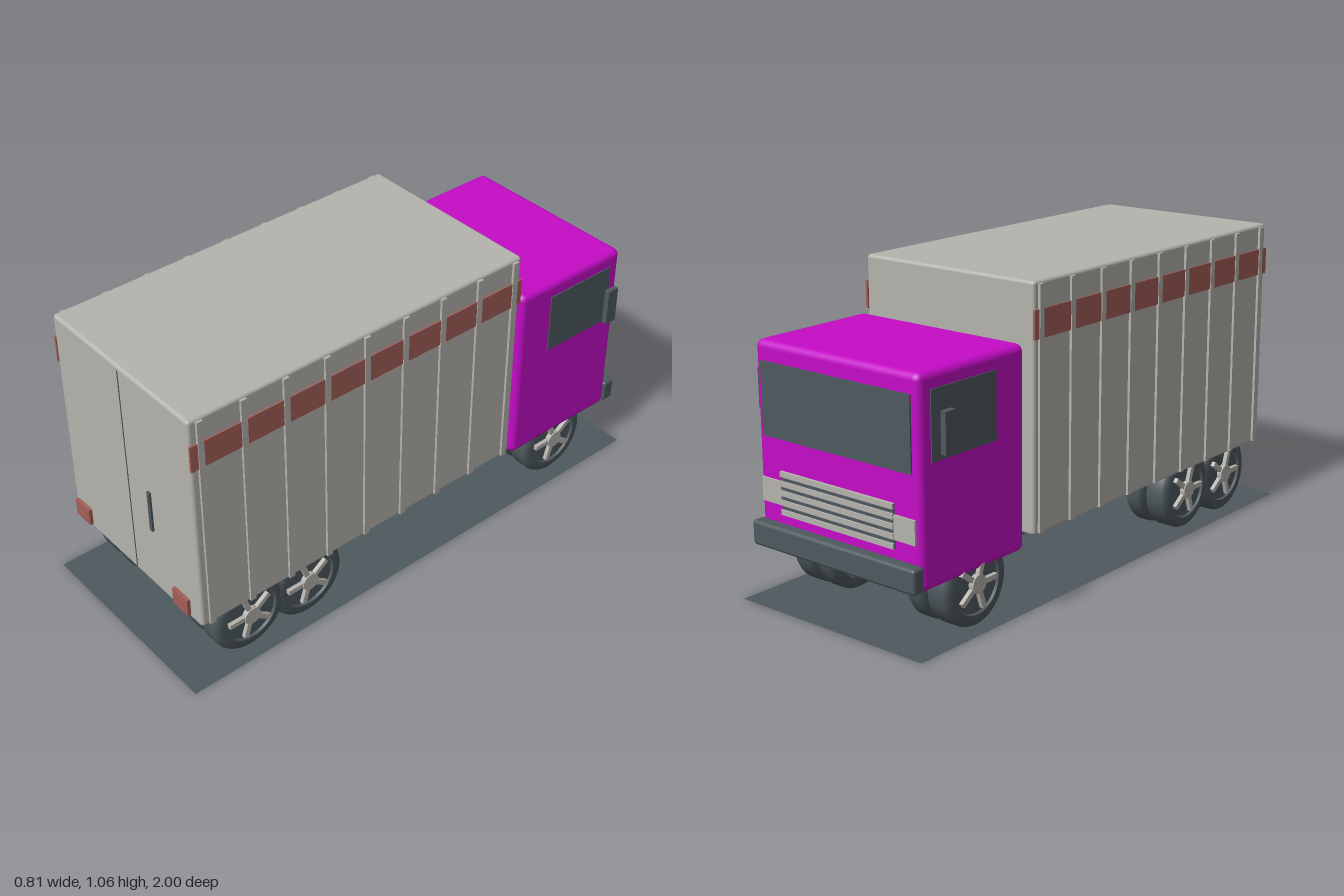
import * as THREE from 'three';
import { toCreasedNormals } from 'three/addons/utils/BufferGeometryUtils.js';
import { RoundedBoxGeometry } from 'three/addons/geometries/RoundedBoxGeometry.js';

const mat = (name, color, side = THREE.FrontSide) =>
  Object.assign(new THREE.MeshStandardMaterial({ color, side }), { name });

export function createModel() {
  const grey = mat('warm grey', 0xb5b3ad);
  const paint = mat('magenta paint', 0xc40cc6);
  const dark = mat('dark slate', 0x4e595e, THREE.DoubleSide);
  const red = mat('muted red', 0xa35f57);

  const truck = new THREE.Group();
  truck.name = 'boxTruck';

  const add = (name, geometry, material, parent = truck) => {
    const mesh = new THREE.Mesh(geometry, material);
    mesh.name = name;
    parent.add(mesh);
    return mesh;
  };
  // Box given by its limits on each axis, optionally rounded
  const box = (name, material, [x0, x1], [y0, y1], [z0, z1], radius = 0) => {
    const size = [x1 - x0, y1 - y0, z1 - z0];
    const geometry = radius ? new RoundedBoxGeometry(...size, 3, radius) : new THREE.BoxGeometry(...size);
    add(name, geometry, material).position.set((x0 + x1) / 2, (y0 + y1) / 2, (z0 + z1) / 2);
  };
  // Same box on both sides of the truck
  const pair = (name, material, [x0, x1], y, z, radius) => {
    box(name + 'Left', material, [x0, x1], y, z, radius);
    box(name + 'Right', material, [-x1, -x0], y, z, radius);
  };

  // Ground plate
  const ground = add('groundPlate', new THREE.PlaneGeometry(0.79, 2), dark);
  ground.rotation.x = -Math.PI / 2;
  ground.position.y = 0.002;

  // Chassis
  box('chassis', dark, [-0.22, 0.22], [0.17, 0.255], [-0.865, 0.85]);

  // Cargo box with ribs and a stripe along both sides
  box('cargoBox', grey, [-0.36, 0.36], [0.23, 1.065], [-0.427, 0.932], 0.012);
  pair('sideStripe', red, [0.358, 0.366], [0.88, 0.975], [-0.428, 0.932]);
  for (let i = 0; i < 9; i++) {
    const z = 0.893 - i * 0.161;
    pair('sideRib' + i, grey, [0.355, 0.369], [0.237, 1.055], [z - 0.011, z + 0.011]);
  }

  // Rear doors and lights
  box('doorSeam', dark, [-0.002, 0.002], [0.245, 1.05], [0.929, 0.9335]);
  box('doorHandle', dark, [0.113, 0.127], [0.485, 0.645], [0.93, 0.94]);
  pair('rearLight', red, [0.24, 0.32], [0.27, 0.335], [0.944, 0.957]);

  // Cab
  box('cab', paint, [-0.35, 0.35], [0.19, 0.875], [-0.945, -0.457], 0.025);
  pair('sideWindow', dark, [0.347, 0.354], [0.595, 0.82], [-0.895, -0.6]);
  box('windshield', dark, [-0.32, 0.32], [0.565, 0.81], [-0.951, -0.942]);
  pair('mirror', dark, [0.384, 0.404], [0.625, 0.76], [-0.888, -0.842]);

  // Front grille, headlights and bumper
  box('grilleBack', dark, [-0.245, 0.245], [0.315, 0.46], [-0.95, -0.942]);
  for (let i = 0; i < 5; i++) {
    const y = 0.324 + i * 0.0318;
    box('grilleSlat' + i, grey, [-0.245, 0.245], [y - 0.009, y + 0.009], [-0.956, -0.942]);
  }
  pair('headlight', grey, [0.245, 0.332], [0.345, 0.425], [-0.952, -0.94]);
  box('bumper', dark, [-0.355, 0.355], [0.198, 0.282], [-0.985, -0.935], 0.012);

  // Wheels: twin tyres with a five-spoke hub on the outer side
  const tyre = (width) => {
    const h = width / 2;
    const profile = [[0, -h + 0.008], [0.1, -h + 0.008], [0.105, -h], [0.128, -h], [0.14, -h + 0.008],
      [0.144, -h + 0.016], [0.144, h - 0.016], [0.14, h - 0.008], [0.128, h], [0.105, h],
      [0.1, h - 0.008], [0, h - 0.008]].map(([r, y]) => new THREE.Vector2(r, y));
    return toCreasedNormals(new THREE.LatheGeometry(profile, 40).rotateZ(-Math.PI / 2), 0.6);
  };
  const outerTyre = tyre(0.09);
  const innerTyre = tyre(0.07);
  const hub = new THREE.CylinderGeometry(0.032, 0.032, 0.022, 20).rotateZ(Math.PI / 2);
  const spoke = new THREE.BoxGeometry(0.018, 0.068, 0.018).translate(0, 0.056, 0);

  for (const [name, z] of [['front', -0.684], ['middle', 0.482], ['rear', 0.727]]) {
    for (const side of [1, -1]) {
      const wheel = new THREE.Group();
      wheel.name = name + (side > 0 ? 'WheelLeft' : 'WheelRight');
      wheel.position.set(0, 0.145, z);
      truck.add(wheel);
      add('outerTyre', outerTyre, dark, wheel).position.x = side * 0.297;
      add('innerTyre', innerTyre, dark, wheel).position.x = side * 0.2;
      add('axleStub', new THREE.CylinderGeometry(0.03, 0.03, 0.06, 16).rotateZ(Math.PI / 2), dark, wheel).position.x = side * 0.244;
      add('hub', hub, grey, wheel).position.x = side * 0.342;
      for (let i = 0; i < 5; i++) {
        const arm = add('spoke' + i, spoke, grey, wheel);
        arm.position.x = side * 0.34;
        arm.rotation.x = Math.PI / 2 + (i * Math.PI * 2) / 5;
      }
    }
  }
  return truck;
}
